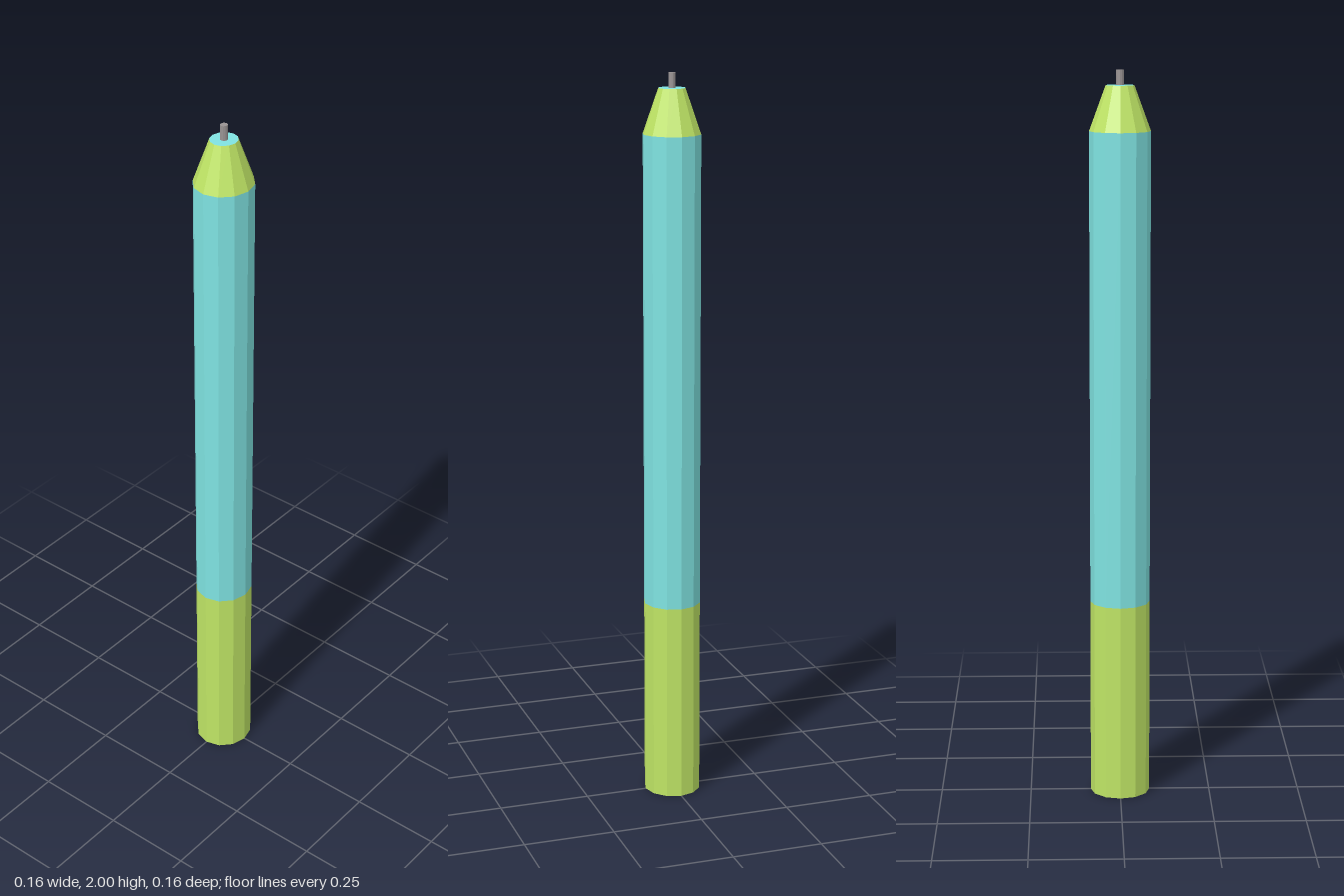
import * as THREE from 'three';

const SIDES = 12;

export function createModel() {
  const group = new THREE.Group();
  const material = (color) => new THREE.MeshStandardMaterial({ color, flatShading: true });
  const green = material(0xbfe565);
  const cyan = material(0x7fe3e1);
  const grey = material(0x9a9494);

  // One faceted section of the barrel, between two heights
  const section = (name, y0, y1, r0, r1, mat, open = true) => {
    const geometry = new THREE.CylinderGeometry(r1, r0, y1 - y0, SIDES, 1, open);
    geometry.translate(0, (y0 + y1) / 2, 0);
    const mesh = new THREE.Mesh(geometry, mat);
    mesh.name = name;
    group.add(mesh);
    return mesh;
  };

  // Barrel
  section('grip', 0, 0.55, 0.082, 0.082, green);
  section('barrel', 0.55, 1.84, 0.082, 0.082, cyan);
  section('cone', 1.84, 1.96, 0.082, 0.038, green);

  // Flat end faces
  const disc = (name, y, r, mat, turn) => {
    const geometry = new THREE.CircleGeometry(r, SIDES).rotateX(turn);
    const mesh = new THREE.Mesh(geometry, mat);
    mesh.name = name;
    mesh.position.y = y;
    group.add(mesh);
  };
  disc('baseCap', 0, 0.082, green, Math.PI / 2);
  disc('coneCap', 1.96, 0.038, cyan, -Math.PI / 2);

  // Writing tip
  section('tip', 1.955, 2, 0.01, 0.01, grey, false);

  // The cross-section is slightly narrower across x
  group.scale.x = 0.95;
  return group;
}
